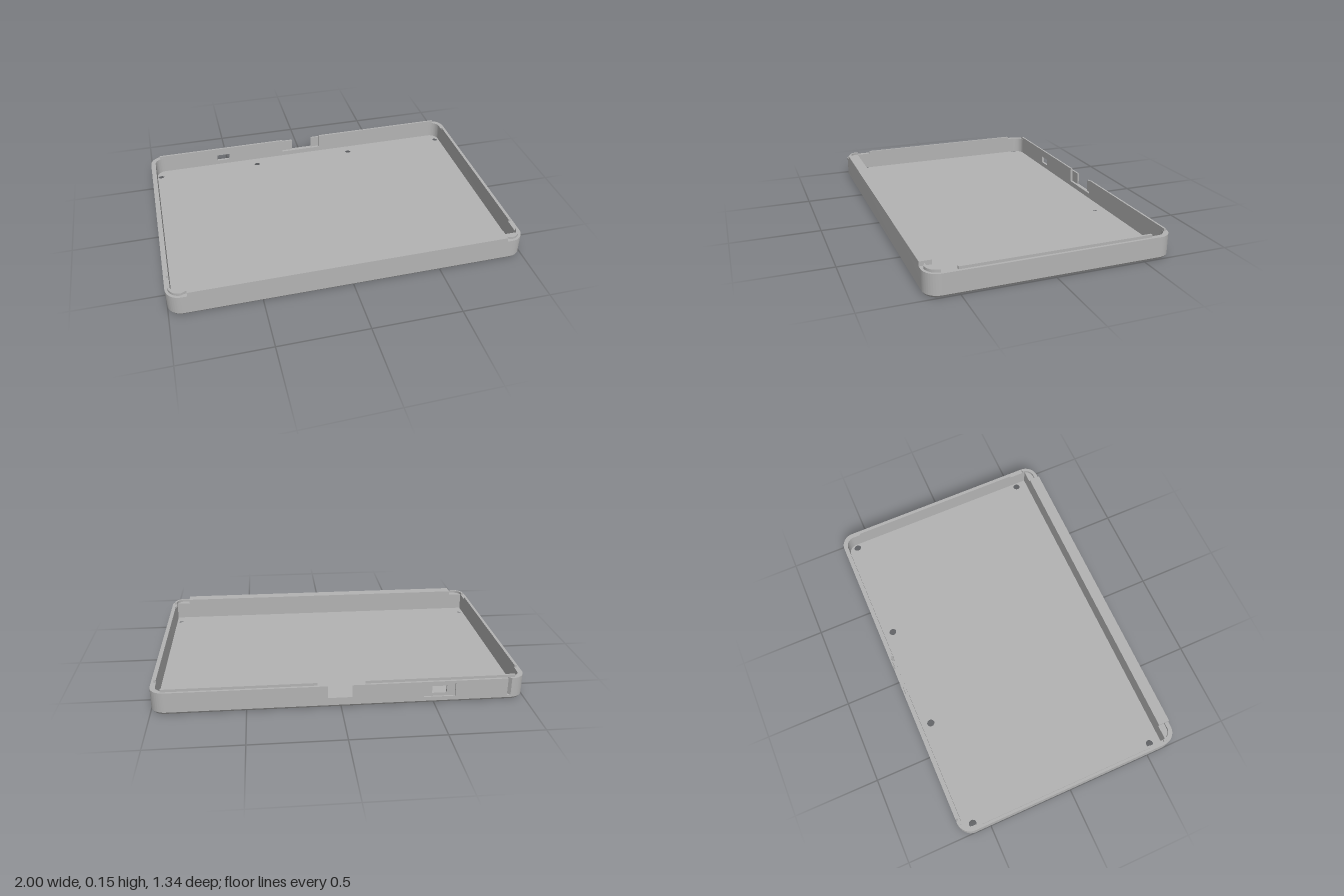
import * as THREE from 'three';
import { toCreasedNormals } from 'three/addons/utils/BufferGeometryUtils.js';

const grey = new THREE.MeshStandardMaterial({ color: 0xb3b3b3 });
grey.name = 'plain grey';

const PI = Math.PI;
const W = 1, D = 0.67, R = 0.08;            // half width, half depth, corner radius
const CX = W - R, CZ = D - R;               // corner centres
const FLOOR = 0.025, RIM = 0.125, LIP = 0.14, BAR = 0.15, SKIN = 0.012;
const SCREW_R = 0.022;
const SCREWS = [[-0.95, -0.59], [-0.315, -0.59], [0.315, -0.59], [0.95, -0.59], [-0.95, 0.54], [0.95, 0.54]];
const FEET = [[-0.735, -0.445], [0.735, -0.445], [-0.735, 0.445], [0.735, 0.445]];

// Extrude a plan drawn in (x, z) between two heights
function slab(shape, y0, y1) {
  const g = new THREE.ExtrudeGeometry(shape, { depth: y1 - y0, bevelEnabled: false, curveSegments: 14 });
  return g.rotateX(PI / 2).translate(0, y1, 0);
}

// Extrude an elevation drawn in (x, y) between two depths
function panel(shape, z0, z1) {
  const g = new THREE.ExtrudeGeometry(shape, { depth: z1 - z0, bevelEnabled: false });
  return g.translate(0, 0, z0);
}

function box(x0, x1, y0, y1, z0, z1) {
  return new THREE.BoxGeometry(x1 - x0, y1 - y0, z1 - z0)
    .translate((x0 + x1) / 2, (y0 + y1) / 2, (z0 + z1) / 2);
}

function rectPath(PathType, x0, x1, y0, y1) {
  const p = new PathType();
  p.moveTo(x0, y0); p.lineTo(x1, y0); p.lineTo(x1, y1); p.lineTo(x0, y1); p.closePath();
  return p;
}

function addCircles(shape, centres, r) {
  for (const [x, z] of centres) {
    const hole = new THREE.Path();
    hole.absarc(x, z, r, 0, 2 * PI, true);
    shape.holes.push(hole);
  }
  return shape;
}

// Clockwise rounded outline shared by the floor and the walls
function traceOutline(s) {
  s.absarc(-CX, -CZ, R, -PI / 2, -PI, true);
  s.absarc(-CX, CZ, R, PI, PI / 2, true);
  s.absarc(CX, CZ, R, PI / 2, 0, true);
  s.absarc(CX, -CZ, R, 0, -PI / 2, true);
  return s;
}

// Underside skin: chamfered outer edge, countersunk screw holes, round foot recesses
function undersideGeometry() {
  const shape = traceOutline(new THREE.Shape());
  addCircles(shape, SCREWS, SCREW_R);
  addCircles(shape, FEET, 0.085);
  const g = slab(shape, 0, SKIN);
  const p = g.attributes.position;
  for (let i = 0; i < p.count; i++) {
    if (p.getY(i) > SKIN / 2) continue;
    let x = p.getX(i), z = p.getZ(i);
    const screw = SCREWS.find(([sx, sz]) => Math.hypot(x - sx, z - sz) < SCREW_R + 0.002);
    if (screw) {
      const k = 0.035 / SCREW_R;
      x = screw[0] + (x - screw[0]) * k;
      z = screw[1] + (z - screw[1]) * k;
    } else {
      const dx = Math.max(Math.abs(x) - CX, 0), dz = Math.max(Math.abs(z) - CZ, 0);
      const d = Math.hypot(dx, dz);
      if (d > R - 0.002) {
        x -= Math.sign(x) * dx / d * 0.009;
        z -= Math.sign(z) * dz / d * 0.009;
      }
    }
    p.setXYZ(i, x, 0, z);
  }
  return g;
}

// Side and front walls, open along the back where the port panel fits
function wallShape() {
  const s = new THREE.Shape();
  s.moveTo(-0.9, -D);
  traceOutline(s);
  s.lineTo(0.9, -D);
  s.lineTo(0.9, -0.645);
  s.absarc(0.917, -0.59, 0.055, -PI / 2, 0, false);
  s.lineTo(0.972, 0.605);
  s.lineTo(-0.972, 0.605);
  s.absarc(-0.917, -0.59, 0.055, PI, 1.5 * PI, false);
  s.lineTo(-0.9, -0.645);
  s.closePath();
  return s;
}

// Back wall layer with a notch in its top edge and one port opening
function backShape(nx0, nx1, port) {
  const s = new THREE.Shape();
  const pts = [[-0.9, FLOOR], [0.9, FLOOR], [0.9, RIM], [nx1, RIM], [nx1, 0.055], [nx0, 0.055], [nx0, RIM], [-0.9, RIM]];
  s.setFromPoints(pts.map(([x, y]) => new THREE.Vector2(x, y)));
  s.holes.push(rectPath(THREE.Path, ...port));
  return s;
}

// Raised lip that follows a front corner
function cornerLipShape(side) {
  const s = new THREE.Shape();
  const end = side > 0 ? 0 : PI, cw = side > 0;
  s.moveTo(side * 0.89, CZ + 0.065);
  s.absarc(side * CX, CZ, 0.065, PI / 2, end, cw);
  s.absarc(side * CX, CZ, 0.052, end, PI / 2, !cw);
  s.lineTo(side * 0.89, CZ + 0.052);
  s.closePath();
  return s;
}

export function createModel() {
  const model = new THREE.Group();
  model.name = 'enclosureTray';
  const add = (name, geometry) => {
    const mesh = new THREE.Mesh(toCreasedNormals(geometry, 0.5), grey);
    mesh.name = name;
    model.add(mesh);
  };

  // Floor
  add('underside', undersideGeometry());
  add('floor', slab(addCircles(traceOutline(new THREE.Shape()), SCREWS, SCREW_R), SKIN, FLOOR));

  // Walls
  add('sideAndFrontWalls', slab(wallShape(), FLOOR, RIM));
  add('backWallOuter', panel(backShape(-0.06, 0.07, [-0.615, -0.445, 0.035, 0.11]), -D, -0.66));
  add('backWallInner', panel(backShape(-0.13, 0.125, [-0.57, -0.49, 0.053, 0.093]), -0.66, -0.645));
  add('frontBar', box(-0.89, 0.89, RIM, BAR, 0.605, D));

  // Locating lips on the rim
  add('backLipRight', box(-0.94, -0.13, RIM, LIP, -0.656, -0.645));
  add('backLipLeft', box(0.125, 0.94, RIM, LIP, -0.656, -0.645));
  for (const side of [-1, 1]) {
    const label = side > 0 ? 'Left' : 'Right';
    const a = side * 0.972, b = side * 0.985;
    add('sideLip' + label, box(Math.min(a, b), Math.max(a, b), RIM, LIP, -0.545, 0.505));
    add('cornerLip' + label, slab(cornerLipShape(side), RIM, LIP));
  }
  return model;
}
